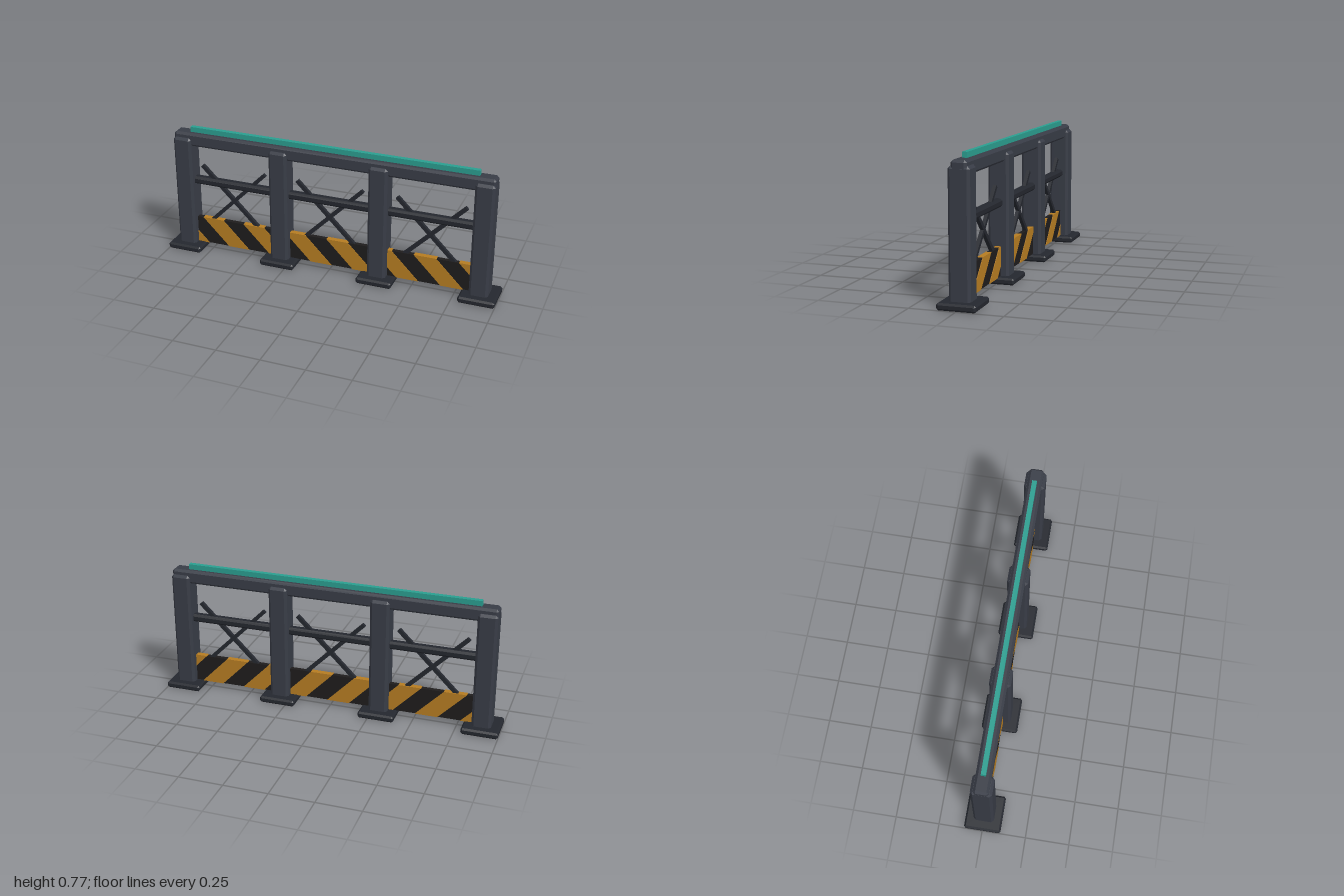
import * as THREE from 'three';
import { ConvexGeometry } from 'three/addons/geometries/ConvexGeometry.js';

const mat = (color) => new THREE.MeshStandardMaterial({ color });

// Box with every edge chamfered by c
function chamferBox(w, h, d, c) {
  const pts = [];
  for (const sx of [-1, 1]) for (const sy of [-1, 1]) for (const sz of [-1, 1]) {
    const x = w / 2, y = h / 2, z = d / 2;
    pts.push(
      new THREE.Vector3(sx * x, sy * (y - c), sz * (z - c)),
      new THREE.Vector3(sx * (x - c), sy * y, sz * (z - c)),
      new THREE.Vector3(sx * (x - c), sy * (y - c), sz * z)
    );
  }
  return new ConvexGeometry(pts);
}

// Keep the part of a polygon where side * x <= limit
function clipX(poly, side, limit) {
  const out = [];
  poly.forEach((a, i) => {
    const b = poly[(i + 1) % poly.length];
    const da = limit - side * a.x, db = limit - side * b.x;
    if (da >= 0) out.push(a);
    if (da * db < 0) out.push(a.clone().lerp(b, da / (da - db)));
  });
  return out;
}

export function createModel() {
  const group = new THREE.Group();
  const steel = mat(0x383c46), dark = mat(0x24272e), black = mat(0x1e1c1c);
  const orange = mat(0xb57c22), teal = mat(0x2a9d8f);

  const add = (name, geometry, material, x, y, z = 0) => {
    const mesh = new THREE.Mesh(geometry, material);
    mesh.name = name;
    mesh.position.set(x, y, z);
    group.add(mesh);
    return mesh;
  };

  // Four posts on foot plates
  const spacing = 0.597;
  const postGeo = chamferBox(0.11, 0.7, 0.117, 0.014);
  const footGeo = chamferBox(0.21, 0.038, 0.21, 0.01);
  for (let i = 0; i < 4; i++) {
    const x = (i - 1.5) * spacing;
    add('post', postGeo, steel, x, 0.365);
    add('footPlate', footGeo, dark, x, 0.019);
  }

  // Rails
  add('topRail', chamferBox(1.9, 0.08, 0.084, 0.013), steel, 0, 0.705);
  add('midRail', chamferBox(1.86, 0.046, 0.05, 0.012), dark, 0, 0.442);
  add('lightStrip', new THREE.BoxGeometry(1.71, 0.032, 0.027), teal, 0, 0.759);

  // Crossed braces in each bay
  const braceGeo = new THREE.BoxGeometry(0.56, 0.022, 0.02);
  for (let i = -1; i <= 1; i++) {
    for (const s of [-1, 1]) {
      add('brace', braceGeo, dark, i * spacing, 0.34).rotation.z = s * Math.PI / 4;
    }
  }

  // Kick panel with slanted warning stripes
  const bottom = 0.037, top = 0.2, end = 0.945, lean = (top - bottom) / 2;
  add('kickPanel', new THREE.BoxGeometry(2 * end, top - bottom, 0.026), black, 0, (top + bottom) / 2);
  const pitch = 0.262, half = pitch / 4;
  for (let i = 0; i < 8; i++) {
    const c = (i - 3.5) * pitch;
    let poly = [
      new THREE.Vector2(c + lean - half, bottom - 0.001),
      new THREE.Vector2(c + lean + half, bottom - 0.001),
      new THREE.Vector2(c - lean + half, top + 0.002),
      new THREE.Vector2(c - lean - half, top + 0.002)
    ];
    poly = clipX(clipX(poly, 1, end), -1, end);
    const geo = new THREE.ExtrudeGeometry(new THREE.Shape(poly), { depth: 0.032, bevelEnabled: false });
    add('warningStripe', geo, orange, 0, 0, -0.016);
  }
  return group;
}
